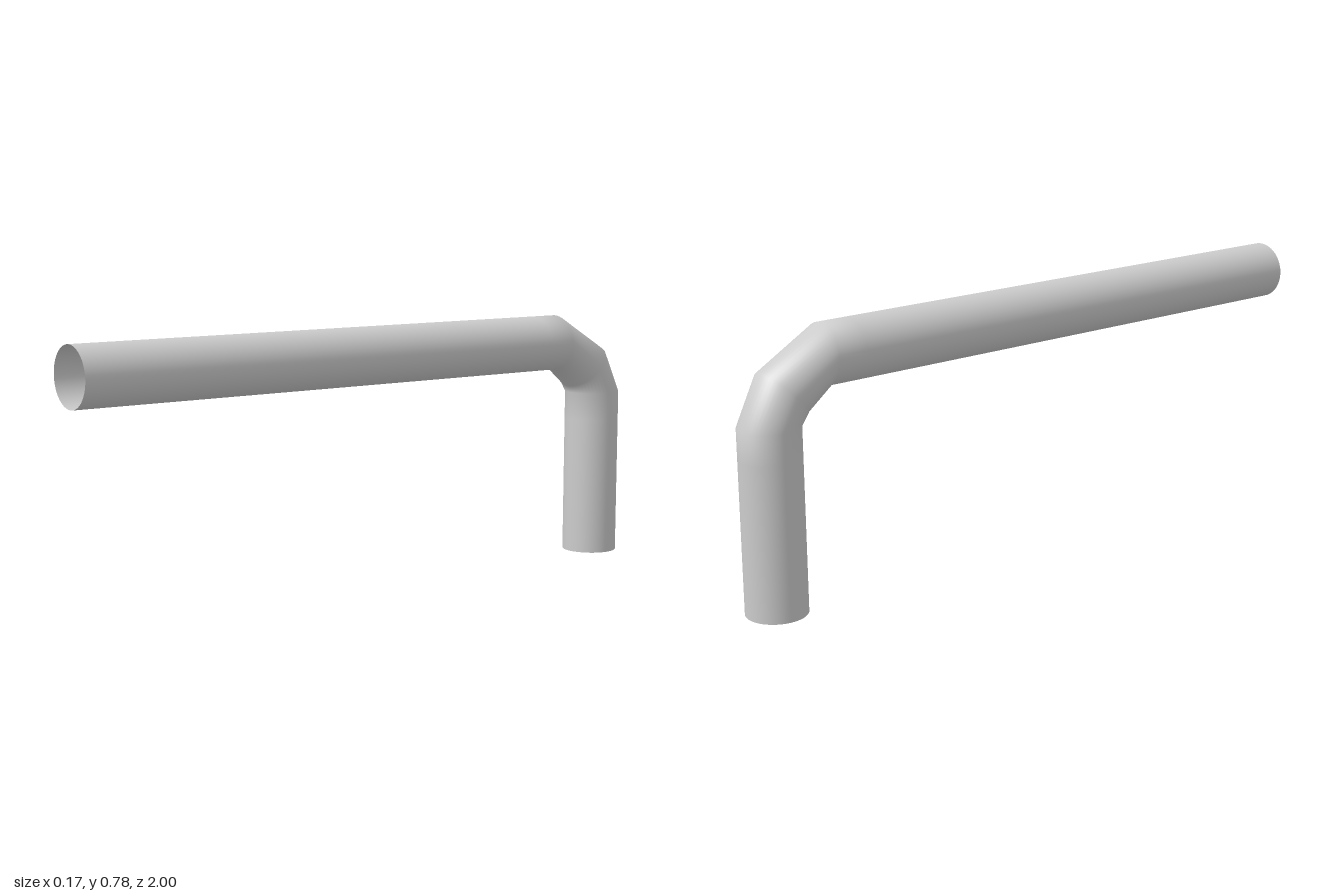
import * as THREE from 'three';

const RADIUS = 0.087;
const SIDES = 48;

// Rings along the pipe: centre z, centre y, tilt of the ring plane in degrees
// (0 = facing along z, 90 = facing down).
const RINGS = [
  [1, 0.696, 0],
  [-0.65, 0.696, 0],
  [-0.74, 0.696, 0],
  [-0.869, 0.611, 45],
  [-0.913, 0.527, 90],
  [-0.913, 0.44, 90],
  [-0.913, 0, 90],
];

// Skin the rings into one open, smoothly shaded pipe.
function bentPipe() {
  const positions = [];
  const indices = [];
  RINGS.forEach(([z, y, degrees], r) => {
    const tilt = THREE.MathUtils.degToRad(degrees);
    for (let i = 0; i < SIDES; i++) {
      const a = (i / SIDES) * Math.PI * 2;
      const out = Math.sin(a) * RADIUS;
      positions.push(Math.cos(a) * RADIUS, y + out * Math.cos(tilt), z - out * Math.sin(tilt));
      if (r === 0) continue;
      const j = (i + 1) % SIDES;
      const near = (r - 1) * SIDES;
      const far = r * SIDES;
      indices.push(near + i, far + i, near + j, near + j, far + i, far + j);
    }
  });
  const geometry = new THREE.BufferGeometry();
  geometry.setAttribute('position', new THREE.Float32BufferAttribute(positions, 3));
  geometry.setIndex(indices);
  geometry.computeVertexNormals();
  return geometry;
}

export function createModel() {
  const group = new THREE.Group();
  group.name = 'elbowPipe';
  const material = new THREE.MeshStandardMaterial({ color: 0xcccccc, side: THREE.DoubleSide });
  const pipe = new THREE.Mesh(bentPipe(), material);
  pipe.name = 'bentPipe';
  group.add(pipe);
  return group;
}
